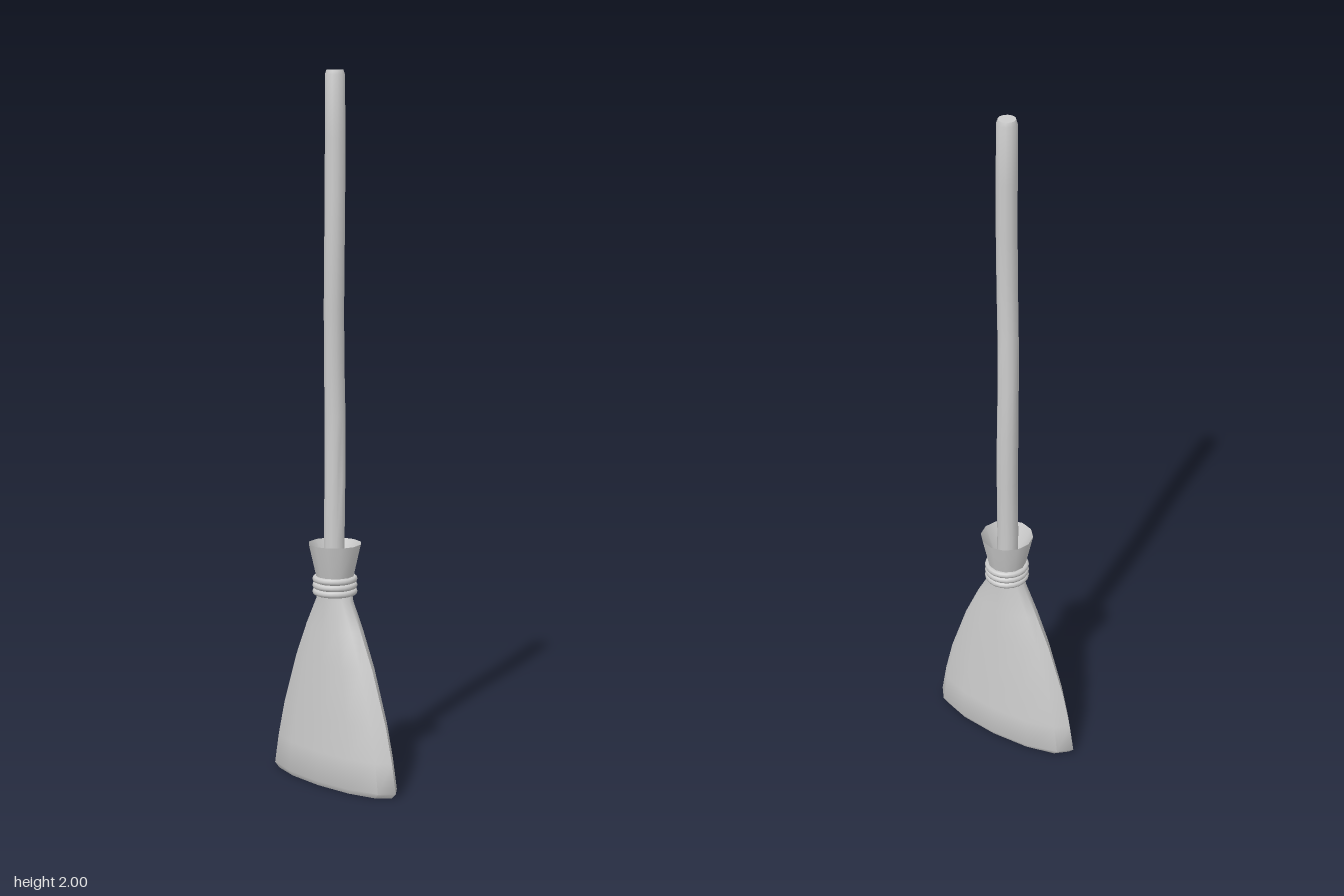
import * as THREE from 'three';
import { toCreasedNormals } from 'three/addons/utils/BufferGeometryUtils.js';

const SIDES = 12;
const material = new THREE.MeshStandardMaterial({ color: 0xcccccc, side: THREE.DoubleSide });

// Skin stacked elliptical rings [y, radiusX, radiusZ, centreX, centreZ], ordered bottom to top.
function loft(name, rings, crease) {
  const pos = [], index = [];
  for (const [y, rx, rz, cx = 0, cz = 0] of rings) {
    for (let i = 0; i < SIDES; i++) {
      const a = (i / SIDES) * Math.PI * 2;
      pos.push(cx + Math.cos(a) * rx, y, cz + Math.sin(a) * rz);
    }
  }
  for (let r = 0; r < rings.length - 1; r++) {
    for (let i = 0; i < SIDES; i++) {
      const j = (i + 1) % SIDES;
      const a = r * SIDES + i, b = r * SIDES + j;
      index.push(a, a + SIDES, b, b, a + SIDES, b + SIDES);
    }
  }
  const geo = new THREE.BufferGeometry();
  geo.setAttribute('position', new THREE.Float32BufferAttribute(pos, 3));
  geo.setIndex(index);
  const mesh = new THREE.Mesh(toCreasedNormals(geo, crease), material);
  mesh.name = name;
  return mesh;
}

export function createModel() {
  const broom = new THREE.Group();
  broom.name = 'broom';

  // Slightly crooked wooden handle with a bevelled, capped tip
  broom.add(loft('handle', [
    [0.5, 0.03, 0.03],
    [0.7, 0.03, 0.03, -0.003, 0],
    [0.88, 0.03, 0.03, -0.005, -0.005],
    [1.05, 0.03, 0.03, -0.008, -0.008],
    [1.2, 0.029, 0.029, -0.008, -0.005],
    [1.35, 0.029, 0.029, -0.003, 0.001],
    [1.5, 0.029, 0.029, 0.002, 0.004],
    [1.65, 0.029, 0.029, 0.003, 0.003],
    [1.82, 0.029, 0.029, 0.001, 0],
    [1.988, 0.028, 0.028],
    [2, 0.024, 0.024],
    [2, 0, 0],
  ], 0.7));

  // Bristles: flat closed base, sweeping up to the tied neck
  broom.add(loft('bristles', [
    [0.004, 0, 0],
    [0, 0.228, 0.066],
    [0.015, 0.243, 0.075],
    [0.1, 0.228, 0.07],
    [0.2, 0.203, 0.064],
    [0.35, 0.15, 0.055],
    [0.45, 0.104, 0.048],
    [0.53, 0.06, 0.043],
    [0.57, 0.048, 0.045],
  ], 0.9));

  // Flared collar above the binding, with a funnel inside it
  broom.add(loft('collar', [
    [0.57, 0.048, 0.045],
    [0.6, 0.055, 0.054],
    [0.69, 0.075, 0.075],
    [0.6, 0.036, 0.036],
    [0.57, 0.028, 0.028],
  ], 0.7));

  // Three cord loops around the neck
  [0.553, 0.571, 0.589].forEach((y, i) => {
    const cord = new THREE.Mesh(new THREE.TorusGeometry(0.054, 0.0095, 8, 20), material);
    cord.rotation.x = Math.PI / 2;
    cord.position.y = y;
    cord.name = `bindingCord${i + 1}`;
    broom.add(cord);
  });

  return broom;
}
